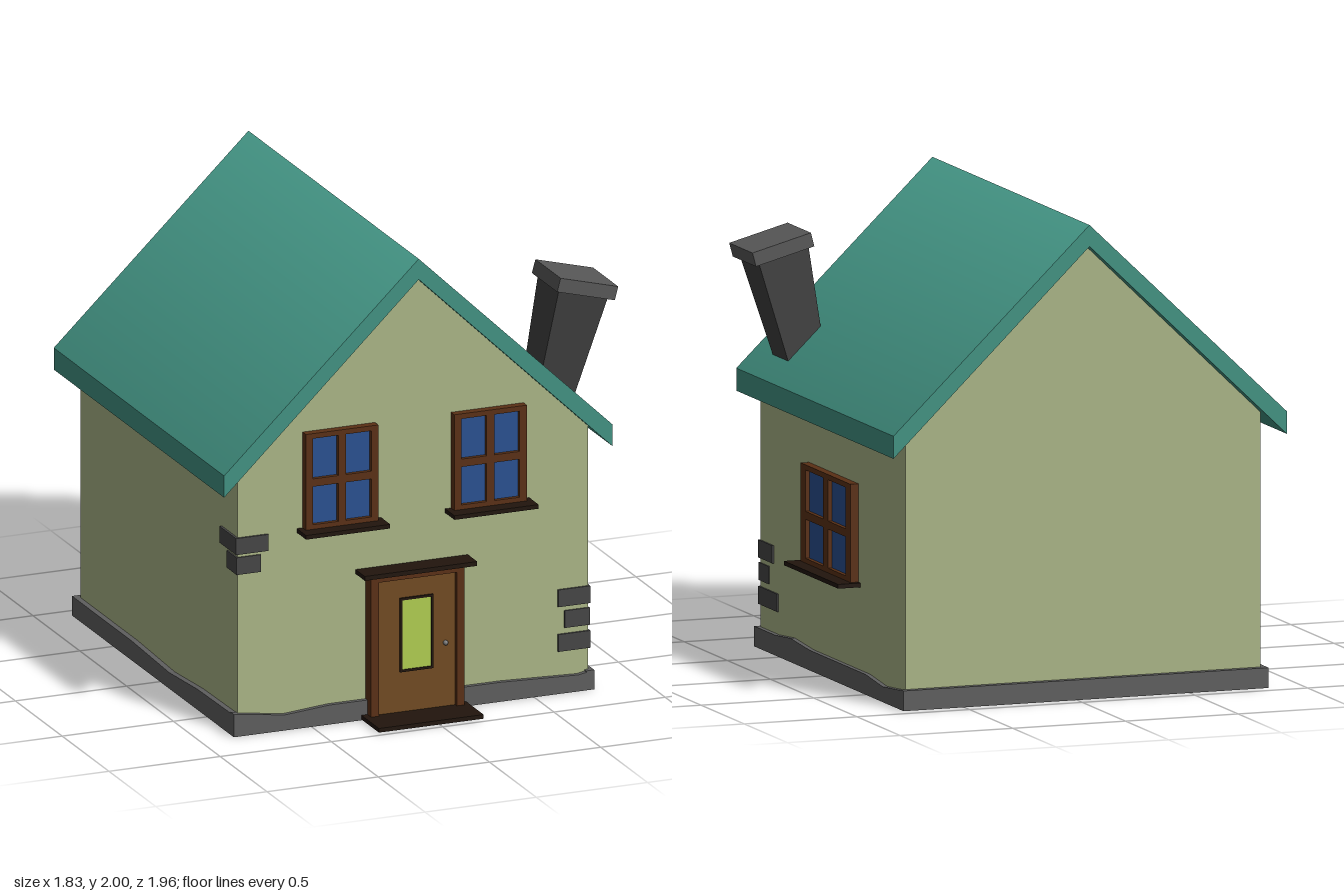
import * as THREE from 'three';

const mat = (color, extra = {}) => new THREE.MeshStandardMaterial({ color, ...extra });
const M = {
  wall: mat(0xaab486), roof: mat(0x429282), stone: mat(0x464646), base: mat(0x5e5e5e),
  shaft: mat(0x404040), cap: mat(0x585858), frame: mat(0x5a3015), door: mat(0x714a22),
  sill: mat(0x21150d), pane: mat(0x2a5090), glass: mat(0xb0cc50), knob: mat(0x777777),
};

function add(parent, name, geometry, material) {
  const mesh = new THREE.Mesh(geometry, material);
  mesh.name = name;
  parent.add(mesh);
  return mesh;
}

// Box given by its lower and upper limits on each axis
function box(parent, name, material, [x0, x1], [y0, y1], [z0, z1]) {
  const mesh = add(parent, name, new THREE.BoxGeometry(x1 - x0, y1 - y0, z1 - z0), material);
  mesh.position.set((x0 + x1) / 2, (y0 + y1) / 2, (z0 + z1) / 2);
  return mesh;
}

const polygon = (pts) => new THREE.Shape(pts.map(([x, y]) => new THREE.Vector2(x, y)));
const rect = (x0, y0, x1, y1) => [[x0, y0], [x1, y0], [x1, y1], [x0, y1]];
const extrude = (shape, depth) => new THREE.ExtrudeGeometry(shape, { depth, bevelEnabled: false });

// Four-pane window facing +z, with its bottom centre at the origin
function makeWindow(name, w, h, stile, mullion) {
  const g = new THREE.Group();
  g.name = name;
  const shape = polygon(rect(-w / 2, 0, w / 2, h));
  const rail = 0.022, bar = 0.034, mid = h / 2 - 0.005;
  for (const [x0, x1] of [[-w / 2 + stile, -mullion / 2], [mullion / 2, w / 2 - stile]])
    for (const [y0, y1] of [[rail, mid - bar / 2], [mid + bar / 2, h - rail]])
      shape.holes.push(polygon(rect(x0, y0, x1, y1)));
  add(g, 'windowFrame', extrude(shape, 0.036), M.frame);
  box(g, 'windowPanes', M.pane, [-w / 2 + 0.01, w / 2 - 0.01], [0.01, h - 0.01], [-0.01, 0.018]);
  box(g, 'windowSill', M.sill, [-w / 2 - 0.026, w / 2 + 0.026], [-0.016, 0.002], [-0.01, 0.1]);
  return g;
}

function makeRoof() {
  const geo = extrude(polygon([
    [-0.915, 1.07], [-0.04, 1.91], [0.83, 1.07], [0.83, 1.165], [-0.04, 2], [-0.915, 1.165],
  ]), 1.82);
  geo.translate(0, 0, -0.98);
  // Blend the shading of both slopes over the ridge
  const p = geo.attributes.position, n = geo.attributes.normal;
  for (let i = 0; i < p.count; i++)
    if (p.getY(i) > 1.99 && n.getY(i) > 0.3) n.setXYZ(i, 0, 1, 0);
  return geo;
}

// Leaning stack, widening upward, with its foot cut along the roof slope
function makeShaft() {
  const geo = new THREE.BoxGeometry(1, 1, 1).toNonIndexed();
  const p = geo.attributes.position;
  for (let i = 0; i < p.count; i++) {
    const right = p.getX(i) > 0, top = p.getY(i) > 0, front = p.getZ(i) > 0;
    const [x, y] = top ? (right ? [0.876, 1.675] : [0.655, 1.735]) : (right ? [0.735, 1.22] : [0.592, 1.34]);
    p.setXYZ(i, x, y, front ? (top ? 0.69 : 0.64) : 0.465);
  }
  geo.computeVertexNormals();
  return geo;
}

export function createModel() {
  const house = new THREE.Group();
  house.name = 'house';

  // Walls with gables
  const walls = add(house, 'walls', extrude(polygon([
    [-0.825, 0.008], [0.75, 0.008], [0.75, 1.17], [-0.04, 1.92], [-0.825, 1.18],
  ]), 1.68), M.wall);
  walls.position.z = -0.91;

  add(house, 'roof', makeRoof(), M.roof);

  // Chimney
  add(house, 'chimneyShaft', makeShaft(), M.shaft);
  const cap = add(house, 'chimneyCap', new THREE.BoxGeometry(0.268, 0.06, 0.27), M.cap);
  cap.position.set(0.774, 1.722, 0.575);
  cap.rotation.z = -0.262;

  // Uneven plinth strips around the foot of the walls
  const t = 0.036;
  const strips = [
    ['plinthFront', 0, 0, 0.79 - t, [[-0.85, 0.1], [-0.62, 0.068], [-0.42, 0.085], [0.35, 0.085], [0.7, 0.072], [0.77, 0.085]]],
    ['plinthRight', Math.PI / 2, 0.77 - t, 0, [[-0.79, 0.085], [-0.55, 0.085], [-0.37, 0.1], [-0.15, 0.085], [0.5, 0.085], [0.7, 0.065], [0.94, 0.085]]],
    ['plinthBack', Math.PI, 0, -0.94 + t, [[-0.77, 0.085], [0.85, 0.085]]],
    ['plinthLeft', -Math.PI / 2, -0.85 + t, 0, [[-0.94, 0.085], [-0.3, 0.085], [0.1, 0.07], [0.4, 0.09], [0.79, 0.095]]],
  ];
  for (const [name, turn, x, z, top] of strips) {
    const outline = [[top[0][0], 0], [top[top.length - 1][0], 0], ...top.slice().reverse()];
    const strip = add(house, name, extrude(polygon(outline), t), M.base);
    strip.position.set(x, 0, z);
    strip.rotation.y = turn;
  }

  // Windows
  for (const [name, x] of [['frontWindowRight', -0.37], ['frontWindowLeft', 0.297]]) {
    const win = makeWindow(name, 0.326, 0.42, 0.032, 0.035);
    win.position.set(x, 0.866, 0.77);
    house.add(win);
  }
  const sideWindow = makeWindow('sideWindow', 0.575, 0.415, 0.055, 0.06);
  sideWindow.position.set(0.75, 0.449, -0.078);
  sideWindow.rotation.y = Math.PI / 2;
  house.add(sideWindow);

  // Door
  const door = new THREE.Group();
  door.name = 'door';
  house.add(door);
  const frame = polygon(rect(-0.25, 0.015, 0.17, 0.636));
  frame.holes.push(polygon(rect(-0.215, 0.02, 0.135, 0.605)));
  add(door, 'doorFrame', extrude(frame, 0.065), M.frame).position.z = 0.765;
  box(door, 'doorPanel', M.door, [-0.22, 0.14], [0.018, 0.61], [0.76, 0.812]);
  const trim = polygon(rect(-0.115, 0.197, 0.035, 0.52));
  trim.holes.push(polygon(rect(-0.105, 0.207, 0.025, 0.51)));
  add(door, 'doorGlassTrim', extrude(trim, 0.014), M.sill).position.z = 0.806;
  box(door, 'doorGlass', M.glass, [-0.11, 0.03], [0.2, 0.516], [0.8, 0.815]);
  add(door, 'doorKnob', new THREE.SphereGeometry(0.011, 12, 8), M.knob).position.set(0.09, 0.3, 0.818);
  box(door, 'doorLintel', M.sill, [-0.295, 0.21], [0.636, 0.655], [0.76, 0.87]);
  box(door, 'doorStep', M.sill, [-0.277, 0.193], [0.004, 0.022], [0.76, 0.978]);

  // Corner stones, each wrapping round a front corner
  const stones = [
    [[0.613, 0.757], [0.375, 0.45], [0.615, 0.779]],
    [[0.643, 0.755], [0.28, 0.355], [0.663, 0.777]],
    [[0.613, 0.757], [0.18, 0.255], [0.562, 0.779]],
    [[-0.835, -0.69], [0.79, 0.862], [0.6, 0.779]],
    [[-0.832, -0.722], [0.702, 0.777], [0.67, 0.777]],
  ];
  for (const [x, y, z] of stones) box(house, 'cornerStone', M.stone, x, y, z);

  return house;
}
